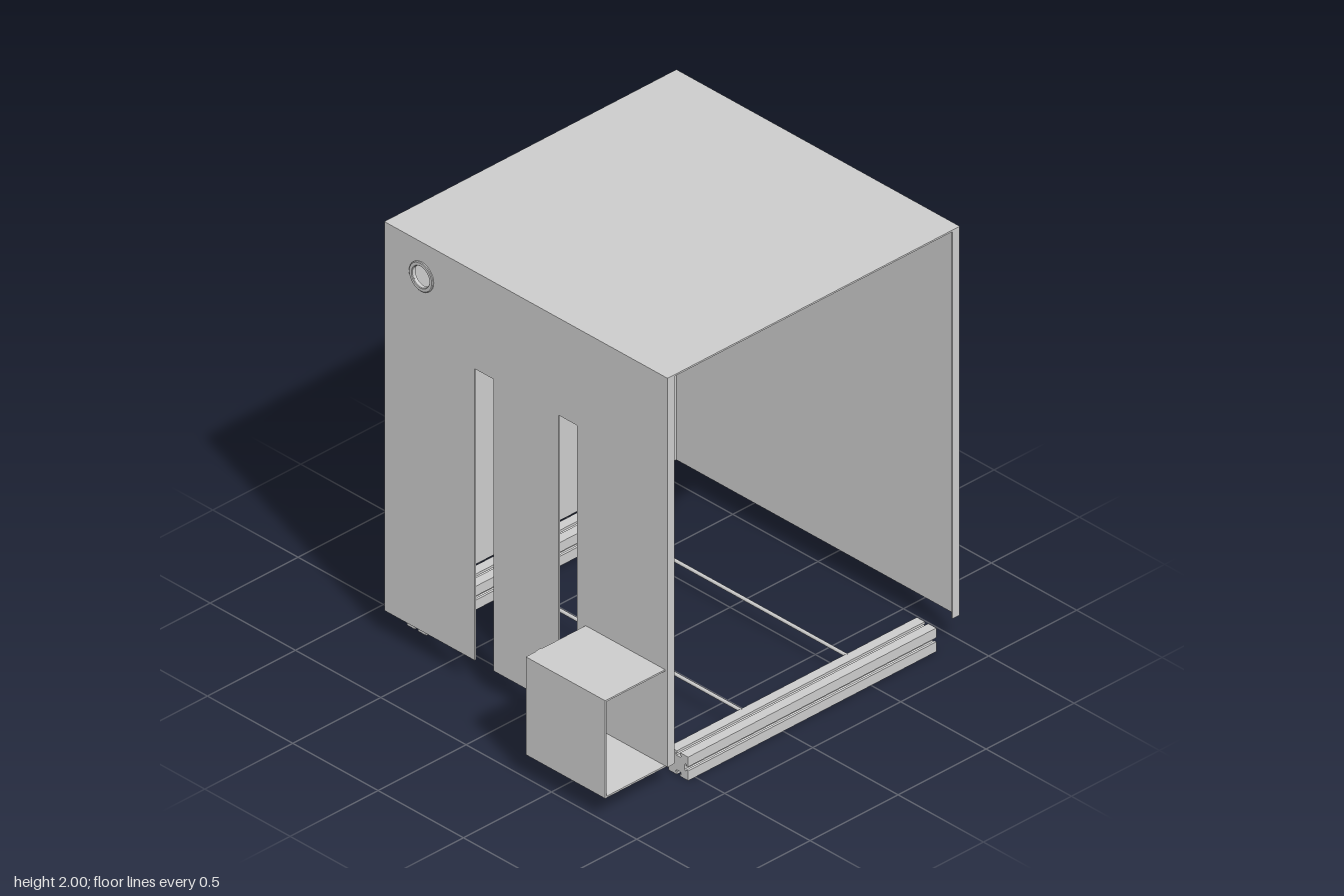
import * as THREE from 'three';
import { toCreasedNormals } from 'three/addons/utils/BufferGeometryUtils.js';

export function createModel() {
  const model = new THREE.Group();
  const mat = new THREE.MeshStandardMaterial({ color: 0xcccccc, side: THREE.DoubleSide });
  const T = 0.008; // sheet thickness
  const L = -0.66, R = 1, BOT = 0.12, TOP = 2, B = -0.83, F = 0.83;

  function add(name, geo, parent = model) {
    const mesh = new THREE.Mesh(geo, mat);
    mesh.name = name;
    parent.add(mesh);
    return mesh;
  }
  // Box given by its limits on each axis
  function block(name, x0, x1, y0, y1, z0, z1, parent) {
    const m = add(name, new THREE.BoxGeometry(x1 - x0, y1 - y0, z1 - z0), parent);
    m.position.set((x0 + x1) / 2, (y0 + y1) / 2, (z0 + z1) / 2);
    return m;
  }
  const outline = pts => new THREE.Shape(pts.map(p => new THREE.Vector2(...p)));
  const hole = (x, y, r) => new THREE.Path().absarc(x, y, r, 0, Math.PI * 2, true);
  const extrude = (shape, depth) =>
    new THREE.ExtrudeGeometry(shape, { depth, bevelEnabled: false, curveSegments: 24 });
  // Shape drawn in (z, y), extruded from x1 towards -x
  const extrudeX = (shape, x1, depth) => extrude(shape, depth).rotateY(-Math.PI / 2).translate(x1, 0, 0);

  // Enclosure, open at the front and below
  const shell = new THREE.Group();
  shell.name = 'enclosure';
  model.add(shell);
  block('topPanel', L, R, TOP - T, TOP, B, F, shell);
  block('backPanel', L, R, BOT, TOP - T, B, B + T, shell);
  block('rightPanel', R - T, R, BOT, TOP - T, B + T, F, shell);
  block('rightFrontFlange', R - 0.04, R - T, BOT, TOP - T, F - T, F, shell);
  block('leftFrontFlange', L + T, L + 0.04, BOT, TOP - T, F - T, F, shell);
  block('leftBackFlange', L + T, L + 0.04, BOT, TOP - T, B + T, B + 2 * T, shell);

  // Slotted side panel with a cable hole
  const slotTop = 1.53;
  const side = outline([
    [B + T, BOT], [-0.3, BOT], [-0.3, slotTop], [-0.19, slotTop], [-0.19, BOT],
    [0.19, BOT], [0.19, slotTop], [0.3, slotTop], [0.3, BOT],
    [F, BOT], [F, TOP - T], [B + T, TOP - T],
  ]);
  side.holes.push(hole(-0.61, 1.835, 0.05));
  add('slottedPanel', extrudeX(side, L + T, T), shell);

  // Cable grommets
  function grommet(name) {
    const pts = [[0.07, 0], [0.07, 0.005], [0.066, 0.008], [0.053, 0.008], [0.05, 0.005], [0.05, -0.012], [0.06, -0.012]];
    const geo = new THREE.LatheGeometry(pts.map(p => new THREE.Vector2(...p)), 32);
    return add(name, toCreasedNormals(geo, 0.6));
  }
  const wallGrommet = grommet('wallGrommet');
  wallGrommet.rotation.z = Math.PI / 2;
  wallGrommet.position.set(L, 1.835, -0.61);
  const boxGrommet = grommet('boxGrommet');
  boxGrommet.rotation.x = -Math.PI / 2;
  boxGrommet.position.set(-0.92, 0.515, 0.35);

  // Side box, open at the front
  const box = new THREE.Group();
  box.name = 'sideBox';
  model.add(box);
  const z0 = 0.35, z1 = 0.815, y0 = 0.112, y1 = 0.585;
  block('boxTop', -1, L, y1 - T, y1, z0, z1, box);
  block('boxFloor', -1, L + 0.01, y0, y0 + T, z0, z1, box);
  block('boxSide', -1, -1 + T, y0 + T, y1 - T, z0, z1, box);
  const rear = outline([[-1 + T, y0 + T], [L, y0 + T], [L, y1 - T], [-1 + T, y1 - T]]);
  rear.holes.push(hole(-0.92, 0.515, 0.05));
  add('boxBack', extrude(rear, T).translate(0, 0, z0), box);

  // Slotted rail profile: one side repeated around four quarter turns
  const h = 0.057;
  const quarter = [[-h, -h], [-0.01, -h], [-0.01, -h + 0.012], [-0.018, -h + 0.012], [-0.012, -h + 0.022],
    [0.012, -h + 0.022], [0.018, -h + 0.012], [0.01, -h + 0.012], [0.01, -h]];
  function rail(name, z) {
    const pts = [];
    for (let i = 0; i < 4; i++) {
      const c = Math.round(Math.cos(i * Math.PI / 2)), s = Math.round(Math.sin(i * Math.PI / 2));
      for (const [x, y] of quarter) pts.push([x * c - y * s, x * s + y * c]);
    }
    add(name, extrudeX(outline(pts), 0.87, 1.41)).position.set(0, h, z);
  }
  rail('frontRail', 0.77);
  rail('backRail', -0.765);

  // Thin tie rods between the rails
  for (const x of [-0.13, 0.47]) {
    const rod = add('tieRod', new THREE.CylinderGeometry(0.008, 0.008, 1.43, 16));
    rod.rotation.x = Math.PI / 2;
    rod.position.set(x, 0.107, 0.003);
  }

  // Rail bolts: the front one stands out, the back one is flush
  for (const [z, len] of [[0.7, 0.05], [-0.805, 0.034]]) {
    const bolt = add('railBolt', new THREE.CylinderGeometry(0.018, 0.018, len, 20));
    bolt.rotation.x = Math.PI / 2;
    bolt.position.set(0.165, 0.062, z);
  }
  return model;
}
